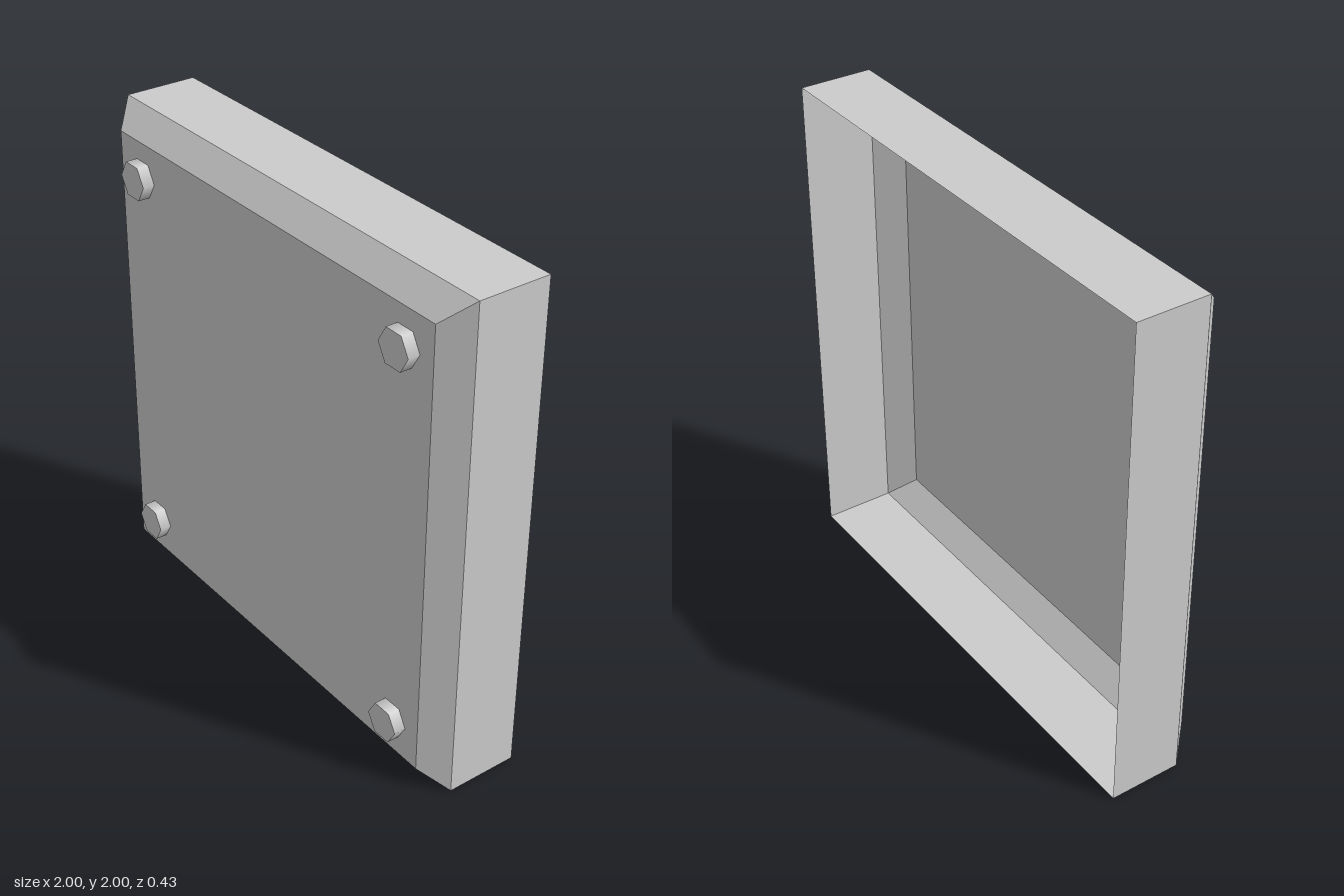
import * as THREE from 'three';

const BACK = -0.215, RIM = 0.075, FACE = 0.168, TIP = 0.215;
const FACE_HALF = 0.91;

// Open-backed tray: square cross-sections joined by flat walls
function trayGeometry() {
  const sections = [[1, BACK], [1, RIM], [FACE_HALF, FACE]];
  const corner = ([half, z], i) => {
    const [sx, sy] = [[-1, -1], [1, -1], [1, 1], [-1, 1]][i % 4];
    return [sx * half, sy * half, z];
  };
  const positions = [];
  const quad = (a, b, c, d) => positions.push(...a, ...b, ...c, ...a, ...c, ...d);
  for (let s = 0; s < sections.length - 1; s++) {
    for (let i = 0; i < 4; i++) {
      quad(corner(sections[s], i), corner(sections[s], i + 1),
        corner(sections[s + 1], i + 1), corner(sections[s + 1], i));
    }
  }
  const last = sections[sections.length - 1];
  quad(corner(last, 0), corner(last, 1), corner(last, 2), corner(last, 3));
  const geometry = new THREE.BufferGeometry();
  geometry.setAttribute('position', new THREE.Float32BufferAttribute(positions, 3));
  geometry.computeVertexNormals();
  return geometry;
}

export function createModel() {
  const model = new THREE.Group();
  model.name = 'boltedPanel';

  // Thin shell with bevelled front edges
  const tray = new THREE.Mesh(trayGeometry(), new THREE.MeshStandardMaterial({
    color: 0xcccccc, flatShading: true, side: THREE.DoubleSide,
  }));
  tray.name = 'panelShell';
  tray.position.y = 1;
  model.add(tray);

  // Hexagonal bolt heads, one near each corner
  const boltGeometry = new THREE.CylinderGeometry(0.076, 0.076, TIP - FACE, 6, 1, false, Math.PI / 2);
  boltGeometry.rotateX(Math.PI / 2);
  const boltMaterial = new THREE.MeshStandardMaterial({ color: 0xcccccc });
  for (const sx of [-1, 1]) {
    for (const sy of [-1, 1]) {
      const bolt = new THREE.Mesh(boltGeometry, boltMaterial);
      bolt.name = (sy > 0 ? 'upper' : 'lower') + (sx > 0 ? 'Left' : 'Right') + 'Bolt';
      bolt.position.set(sx * 0.767, 1 + sy * 0.77, (FACE + TIP) / 2);
      model.add(bolt);
    }
  }
  return model;
}
